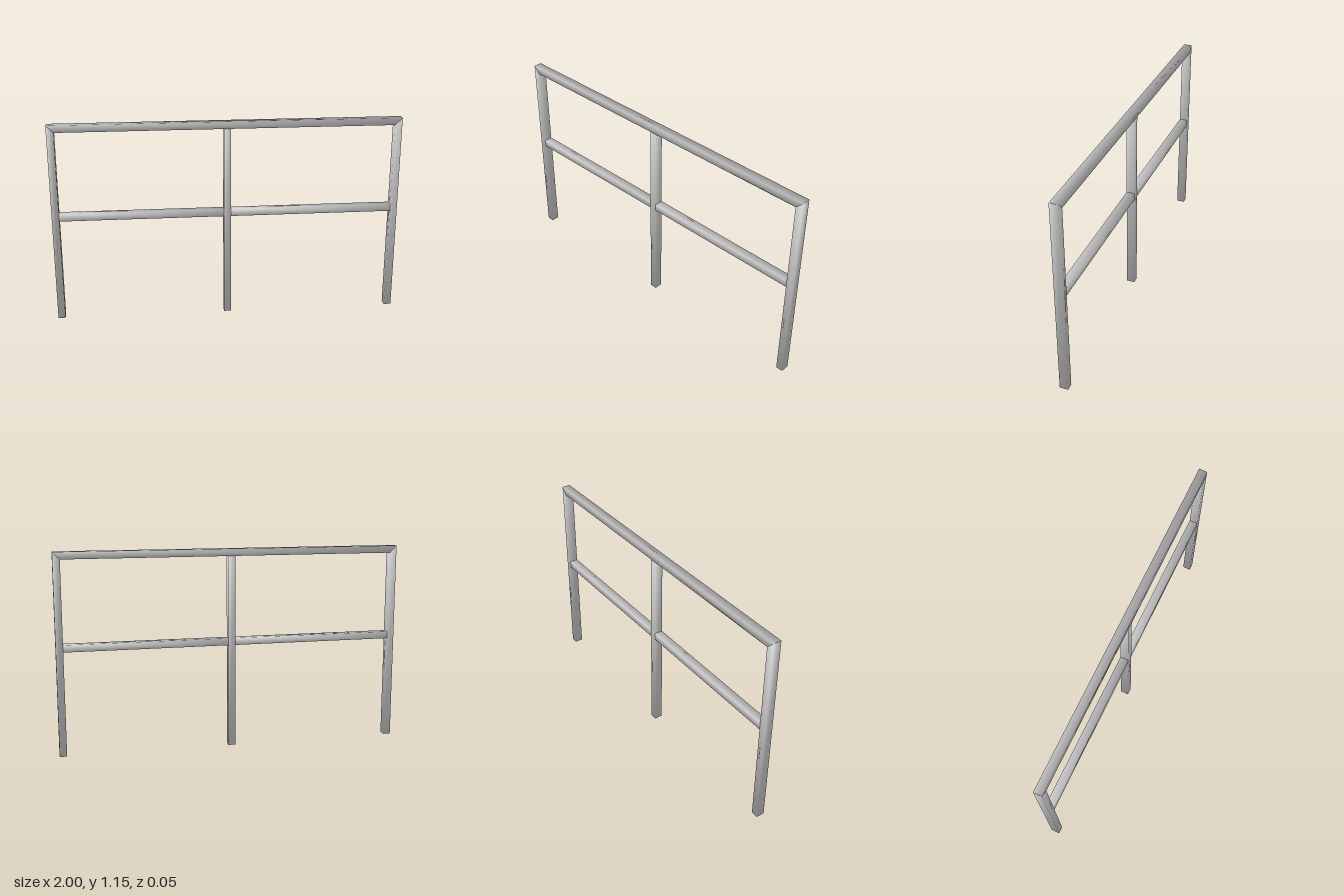
import * as THREE from 'three';

const HALF = 0.0205;       // half width of the rectangular bar, seen from the front
const DEPTH = 0.024;       // half depth in z
const HEIGHT = 1.1545;
const RAIL_Y = 0.62;

// Corners of the cross-section: [outward, z], counter-clockwise around the bar's direction
const SECTION = [[1, -1], [1, 1], [-1, 1], [-1, -1]];

// A closed bar between two stations [x, y, outwardX, outwardY]; a diagonal outward vector mitres
// that end. The corners share softened normals, averaged from the three faces that meet there.
function bar(name, start, end, material) {
  const positions = [];
  const normals = [];
  const along = new THREE.Vector3(end[0] - start[0], end[1] - start[1], 0).normalize();
  const side = new THREE.Vector3(-along.y, along.x, 0);
  [start, end].forEach(([x, y, ox, oy], i) => {
    const cap = new THREE.Vector3(oy, -ox, 0).normalize().multiplyScalar(i ? 1 : -1);
    for (const [o, z] of SECTION) {
      positions.push(x + o * HALF * ox, y + o * HALF * oy, z * DEPTH);
      const n = cap.clone().addScaledVector(side, o);
      n.z = z;
      normals.push(...n.normalize().toArray());
    }
  });
  const index = [0, 2, 1, 0, 3, 2, 4, 5, 6, 4, 6, 7];   // end caps
  for (let a = 0; a < 4; a++) {
    const b = (a + 1) % 4;
    index.push(a, b, b + 4, a, b + 4, a + 4);
  }
  const geometry = new THREE.BufferGeometry();
  geometry.setAttribute('position', new THREE.Float32BufferAttribute(positions, 3));
  geometry.setAttribute('normal', new THREE.Float32BufferAttribute(normals, 3));
  geometry.setIndex(index);
  const mesh = new THREE.Mesh(geometry, material);
  mesh.name = name;
  return mesh;
}

export function createModel() {
  const group = new THREE.Group();
  group.name = 'railing';
  const material = new THREE.MeshStandardMaterial({ color: 0xcccccc });
  const postX = 1 - HALF;
  const topY = HEIGHT - HALF;
  const rightCorner = [-postX, topY, -1, 1];
  const leftCorner = [postX, topY, 1, 1];
  const outer = 1 - 2 * HALF;

  group.add(
    // End posts and handrail, mitred at the top corners
    bar('rightPost', [-postX, 0, -1, 0], rightCorner, material),
    bar('handrail', rightCorner, leftCorner, material),
    bar('leftPost', leftCorner, [postX, 0, 1, 0], material),
    // Centre post, butting under the handrail
    bar('middlePost', [0, 0, -1, 0], [0, topY - HALF, -1, 0], material),
    // Middle rails between the posts
    bar('rightMiddleRail', [-outer, RAIL_Y, 0, 1], [-HALF, RAIL_Y, 0, 1], material),
    bar('leftMiddleRail', [HALF, RAIL_Y, 0, 1], [outer, RAIL_Y, 0, 1], material),
  );
  return group;
}
